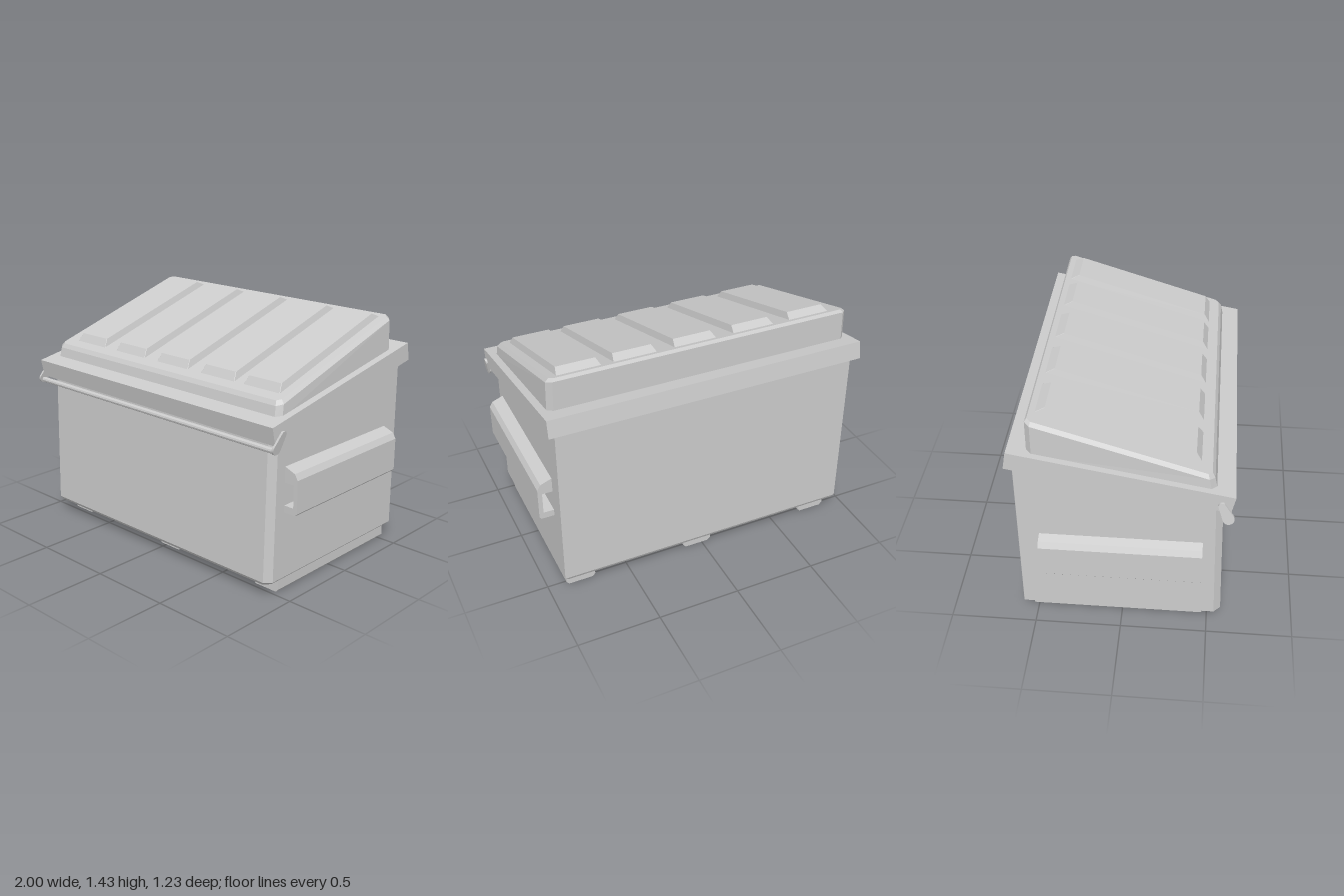
import * as THREE from 'three';

const material = new THREE.MeshStandardMaterial({ color: 0xcccccc, flatShading: true });

function addMesh(parent, name, geometry) {
  const mesh = new THREE.Mesh(geometry, material);
  mesh.name = name;
  parent.add(mesh);
  return mesh;
}

// Skin a stack of horizontal loops (counter-clockwise from above, bottom first) and cap both ends.
function loft(loops) {
  const n = loops[0].length;
  const index = [];
  for (let k = 0; k < loops.length - 1; k++) {
    for (let i = 0; i < n; i++) {
      const a = k * n + i, b = k * n + (i + 1) % n;
      index.push(a, b, b + n, a, b + n, a + n);
    }
  }
  const top = (loops.length - 1) * n;
  for (let i = 1; i < n - 1; i++) {
    index.push(0, i + 1, i, top, top + i, top + i + 1);
  }
  const geometry = new THREE.BufferGeometry();
  geometry.setAttribute('position', new THREE.Float32BufferAttribute(loops.flat(2), 3));
  geometry.setIndex(index);
  const flat = geometry.toNonIndexed();
  flat.computeVertexNormals();
  return flat;
}

// Rectangle with cut corners; height is a function of z.
function loop(x0, x1, zBack, zFront, height, cutFront, cutBack) {
  const f = cutFront, b = cutBack;
  return [
    [x1 - f, zFront], [x1, zFront - f], [x1, zBack + b], [x1 - b, zBack],
    [x0 + b, zBack], [x0, zBack + b], [x0, zFront - f], [x0 + f, zFront],
  ].map(([x, z]) => [x, height(z), z]);
}

// Extrude a (z, y) profile along x, from xRight towards -x.
function extrudeAcross(shape, xRight, width) {
  return new THREE.ExtrudeGeometry(shape, { depth: width, bevelEnabled: false, curveSegments: 8 })
    .rotateY(-Math.PI / 2)
    .translate(xRight, 0, 0);
}

const polygon = (points) => new THREE.Shape(points.map(([x, y]) => new THREE.Vector2(x, y)));

export function createModel() {
  const model = new THREE.Group();
  model.name = 'dumpster';

  const rimTop = (z) => 1.017 + (0.617 - z) * 0.184;
  const lidTop = (z) => 1.115 + (0.49 - z) * 0.3077;

  // Bin body with cut front corners and a bevelled bottom edge
  addMesh(model, 'body', loft([
    loop(-0.91, 0.89, -0.565, 0.565, () => 0.075, 0.037, 0.002),
    loop(-0.93, 0.91, -0.575, 0.578, () => 0.095, 0.038, 0.002),
    loop(-0.93, 0.91, -0.575, 0.552, (z) => rimTop(z) - 0.05, 0.038, 0.002),
  ]));

  // Sloping rim
  const rim = polygon([[0.617, 1.017], [0.595, 0.912], [-0.613, 1.135], [-0.595, 1.24]]);
  addMesh(model, 'rim', extrudeAcross(rim, 0.955, 1.925));

  // Wedge lid with a bevelled top edge
  addMesh(model, 'lid', loft([
    loop(-0.933, 0.911, -0.495, 0.517, (z) => rimTop(z) - 0.01, 0.03, 0.03),
    loop(-0.928, 0.906, -0.495, 0.503, (z) => lidTop(z) - 0.02, 0.03, 0.03),
    loop(-0.908, 0.886, -0.483, 0.487, lidTop, 0.022, 0.022),
  ]));

  // Raised panels on the lid
  for (const x of [-0.692, -0.333, 0.029, 0.388, 0.712]) {
    addMesh(model, 'lidPanel', loft([
      loop(x - 0.128, x + 0.128, -0.457, 0.43, (z) => lidTop(z) - 0.004, 0.002, 0.002),
      loop(x - 0.114, x + 0.114, -0.4, 0.398, (z) => lidTop(z) + 0.038, 0.002, 0.002),
    ]));
  }

  // Lifting channels, open towards the body; the two sit at different heights
  for (const [side, drop] of [[1, 0], [-1, 0.1]]) {
    const channel = polygon([
      [0.9, 0.752], [0.915, 0.75], [0.978, 0.726], [0.998, 0.692], [0.998, 0.5], [0.986, 0.487],
      [0.9, 0.487], [0.9, 0.527], [0.972, 0.527], [0.972, 0.66], [0.9, 0.66],
    ].map(([x, y]) => [x * side, y - drop]));
    const geometry = new THREE.ExtrudeGeometry(channel, { depth: 0.912, bevelEnabled: false });
    addMesh(model, side > 0 ? 'leftLiftChannel' : 'rightLiftChannel', geometry.translate(0, 0, -0.456));
  }

  // Skids under the floor
  for (const x of [-0.782, 0.034, 0.8]) {
    const skid = polygon([
      [-0.074, 0], [0.074, 0], [0.091, 0.018], [0.091, 0.085], [-0.091, 0.085], [-0.091, 0.018],
    ]);
    const geometry = new THREE.ExtrudeGeometry(skid, { depth: 0.997, bevelEnabled: false });
    addMesh(model, 'skid', geometry.translate(x, 0, -0.527));
  }

  // Front lock bar on two tapered arms
  const lockBar = new THREE.Group();
  lockBar.name = 'lockBar';
  model.add(lockBar);
  const low = { z: 0.583, y: 0.893, r: 0.032 }, high = { z: 0.546, y: 0.967, r: 0.02 };
  const along = Math.atan2(high.y - low.y, high.z - low.z);
  const arm = new THREE.Shape();
  arm.absarc(high.z, high.y, high.r, along - Math.PI / 2, along + Math.PI / 2, false);
  arm.absarc(low.z, low.y, low.r, along + Math.PI / 2, along + Math.PI * 1.5, false);
  for (const x of [0.976, -0.971]) {
    const geometry = extrudeAcross(arm, x, 0.013);
    // Lean the arm slightly sideways
    const p = geometry.attributes.position;
    for (let i = 0; i < p.count; i++) p.setX(i, p.getX(i) + (p.getY(i) - 0.985) * 0.18);
    geometry.computeVertexNormals();
    addMesh(lockBar, 'lockArm', geometry);
  }
  const rod = addMesh(lockBar, 'lockRod', new THREE.CylinderGeometry(0.016, 0.016, 1.945, 10));
  rod.rotation.z = Math.PI / 2;
  rod.position.set(-0.018, 0.88, 0.585);

  return model;
}
